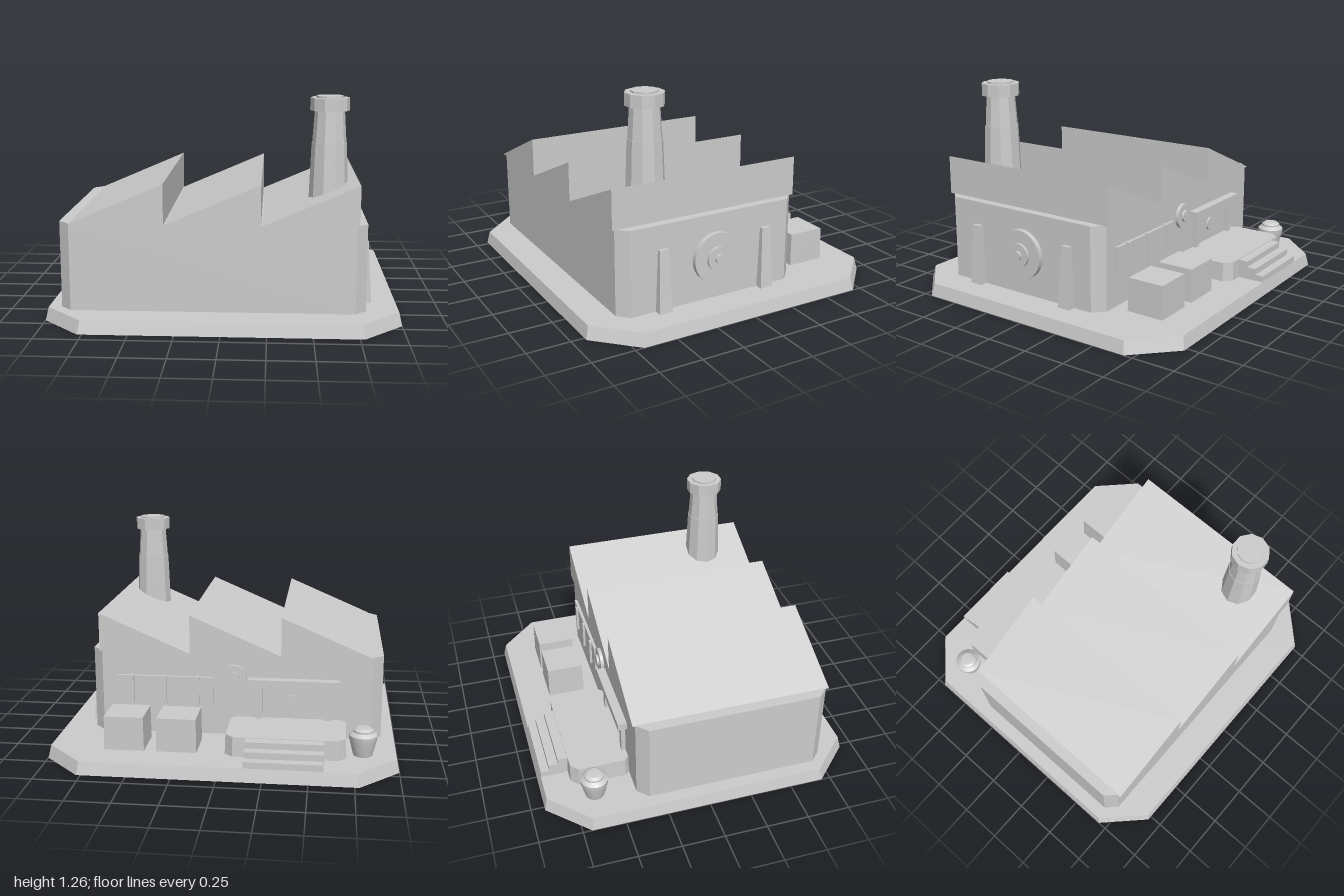
import * as THREE from 'three';
import { toCreasedNormals } from 'three/addons/utils/BufferGeometryUtils.js';

export function createModel() {
  const model = new THREE.Group();
  model.name = 'factory';
  // Double sided because the ground slab is a shell open underneath
  const grey = new THREE.MeshStandardMaterial({ color: 0xcccccc, side: THREE.DoubleSide });
  grey.name = 'plain grey';

  // Adds a part with crisp edges; shallow angles stay smooth
  function add(name, geometry, crease = 0.4) {
    const mesh = new THREE.Mesh(toCreasedNormals(geometry, crease), grey);
    mesh.name = name;
    model.add(mesh);
    return mesh;
  }

  // Box given by its limits on each axis, optionally narrowing to the top
  function box(name, x0, x1, y0, y1, z0, z1, inset = 0) {
    const g = new THREE.BoxGeometry(x1 - x0, y1 - y0, z1 - z0);
    const p = g.attributes.position;
    for (let i = 0; i < p.count; i++) {
      if (p.getY(i) > 0) {
        p.setX(i, p.getX(i) - Math.sign(p.getX(i)) * inset);
        p.setZ(i, p.getZ(i) - Math.sign(p.getZ(i)) * inset);
      }
    }
    g.translate((x0 + x1) / 2, (y0 + y1) / 2, (z0 + z1) / 2);
    return add(name, g);
  }

  // Upright shell with cut corners and no floor, optionally narrowing to the top
  function cutBlock(name, x0, x1, y0, y1, z0, z1, cut, inset = 0) {
    const w = (x1 - x0) / 2, d = (z1 - z0) / 2, h = y1 - y0;
    const corners = [[w, d - cut], [w - cut, d], [cut - w, d], [-w, d - cut],
      [-w, cut - d], [cut - w, -d], [w - cut, -d], [w, cut - d]];
    const shape = new THREE.Shape(corners.map(([x, y]) => new THREE.Vector2(x, y)));
    const solid = new THREE.ExtrudeGeometry(shape, { depth: h, bevelEnabled: false });
    solid.rotateX(-Math.PI / 2);
    const p = solid.attributes.position;
    const points = [];
    for (let i = 0; i < p.count; i += 3) {
      const triangle = [0, 1, 2].map((k) => new THREE.Vector3().fromBufferAttribute(p, i + k));
      if (triangle.every((v) => v.y < h / 2)) continue;
      triangle.forEach((v) => {
        if (v.y > h / 2) v.set(v.x * (1 - inset / w), v.y, v.z * (1 - inset / d));
        points.push(v);
      });
    }
    const g = new THREE.BufferGeometry().setFromPoints(points);
    g.translate((x0 + x1) / 2, y0, (z0 + z1) / 2);
    return add(name, g);
  }

  // Ground slab and main hall
  cutBlock('baseSlab', -1, 1, 0, 0.075, -0.922, 0.922, 0.225, 0.016);
  cutBlock('hall', -0.91, 0.8, 0.075, 0.571, -0.4, 0.731, 0.062);

  // Saw-tooth roof
  [[-0.852, -0.32], [-0.317, 0.214], [0.217, 0.75]].forEach(([x0, x1]) => {
    const tooth = new THREE.Shape([
      new THREE.Vector2(x0, 0.569), new THREE.Vector2(x1, 0.569), new THREE.Vector2(x1, 0.798)]);
    const g = new THREE.ExtrudeGeometry(tooth, { depth: 1.164, bevelEnabled: false });
    g.translate(0, 0, -0.415);
    add('roofTooth', g);
  });

  // Ten-sided chimney: [name, top radius, bottom radius, bottom y, top y]
  [['chimneyLower', 0.099, 0.115, 0.58, 0.995],
    ['chimneyUpper', 0.084, 0.096, 0.995, 1.175],
    ['chimneyCap', 0.11, 0.11, 1.175, 1.247],
    ['chimneyMouth', 0.078, 0.078, 1.247, 1.257]].forEach(([name, rt, rb, y0, y1]) => {
    const g = new THREE.CylinderGeometry(rt, rb, y1 - y0, 10);
    g.rotateY(Math.PI / 2);
    g.translate(0.59, (y0 + y1) / 2, 0.465);
    add(name, g);
  });

  // Round fan on the left wall: [radius, outer x]
  [['fanRim', 0.145, 0.83], ['fanRing', 0.07, 0.845], ['fanHub', 0.027, 0.86]].forEach(([name, r, x]) => {
    const g = new THREE.CylinderGeometry(r, r, x - 0.79, 28);
    g.rotateZ(-Math.PI / 2);
    g.translate((x + 0.79) / 2, 0.322, 0.143);
    add(name, g);
  });

  // Tapered buttresses either side of the fan
  [0.478, -0.183].forEach((z) => {
    const g = new THREE.BoxGeometry(0.065, 0.358, 0.08);
    const p = g.attributes.position;
    for (let i = 0; i < p.count; i++) {
      if (p.getY(i) > 0) {
        p.setZ(i, p.getZ(i) * 0.68);
        if (p.getX(i) > 0) p.setX(i, 0.01);
      }
    }
    g.translate(0.8125, 0.254, z);
    add('buttress', g);
  });

  // Rear loading porch and steps
  cutBlock('porch', -0.705, -0.025, 0.075, 0.189, -0.746, -0.38, 0.045, 0.004);
  [[0.185, -0.8], [0.149, -0.855], [0.112, -0.905]].forEach(([y, z]) =>
    box('step', -0.582, -0.146, 0.075, y, z, -0.73));

  // Door frame with canopy and round door light
  box('canopy', -0.66, -0.13, 0.387, 0.432, -0.453, -0.39);
  box('doorPost', -0.615, -0.575, 0.185, 0.39, -0.425, -0.39);
  box('doorPost', -0.215, -0.175, 0.185, 0.39, -0.425, -0.39);

  // Discs on the rear wall: [name, x, y, radius, outer z]
  [['doorLight', -0.385, 0.29, 0.042, -0.41],
    ['wallDisc', -0.042, 0.43, 0.077, -0.42],
    ['wallDiscCentre', -0.042, 0.43, 0.036, -0.434]].forEach(([name, x, y, r, z]) => {
    const g = new THREE.CylinderGeometry(r, r, -0.39 - z, 24);
    g.rotateX(Math.PI / 2);
    g.translate(x, y, (z - 0.39) / 2);
    add(name, g);
  });

  // Long rear window with mullions
  box('windowStrip', 0.078, 0.658, 0.267, 0.427, -0.418, -0.39);
  [0.167, 0.362, 0.557].forEach((x) =>
    box('windowMullion', x - 0.011, x + 0.011, 0.26, 0.432, -0.432, -0.39));

  // Crates
  [0.134, 0.434].forEach((x) =>
    box('crate', x, x + 0.23, 0.075, 0.271, -0.716, -0.489, 0.003));

  // Flared planter with rim and a low mound
  const profile = [[0, 0], [0.054, 0], [0.078, 0.095], [0.08, 0.12],
    [0.057, 0.138], [0.057, 0.148], [0.04, 0.16], [0, 0.163]];
  const pot = new THREE.LatheGeometry(profile.map(([r, y]) => new THREE.Vector2(r, y)), 16);
  pot.translate(-0.797, 0.075, -0.632);
  add('planter', pot);

  return model;
}
